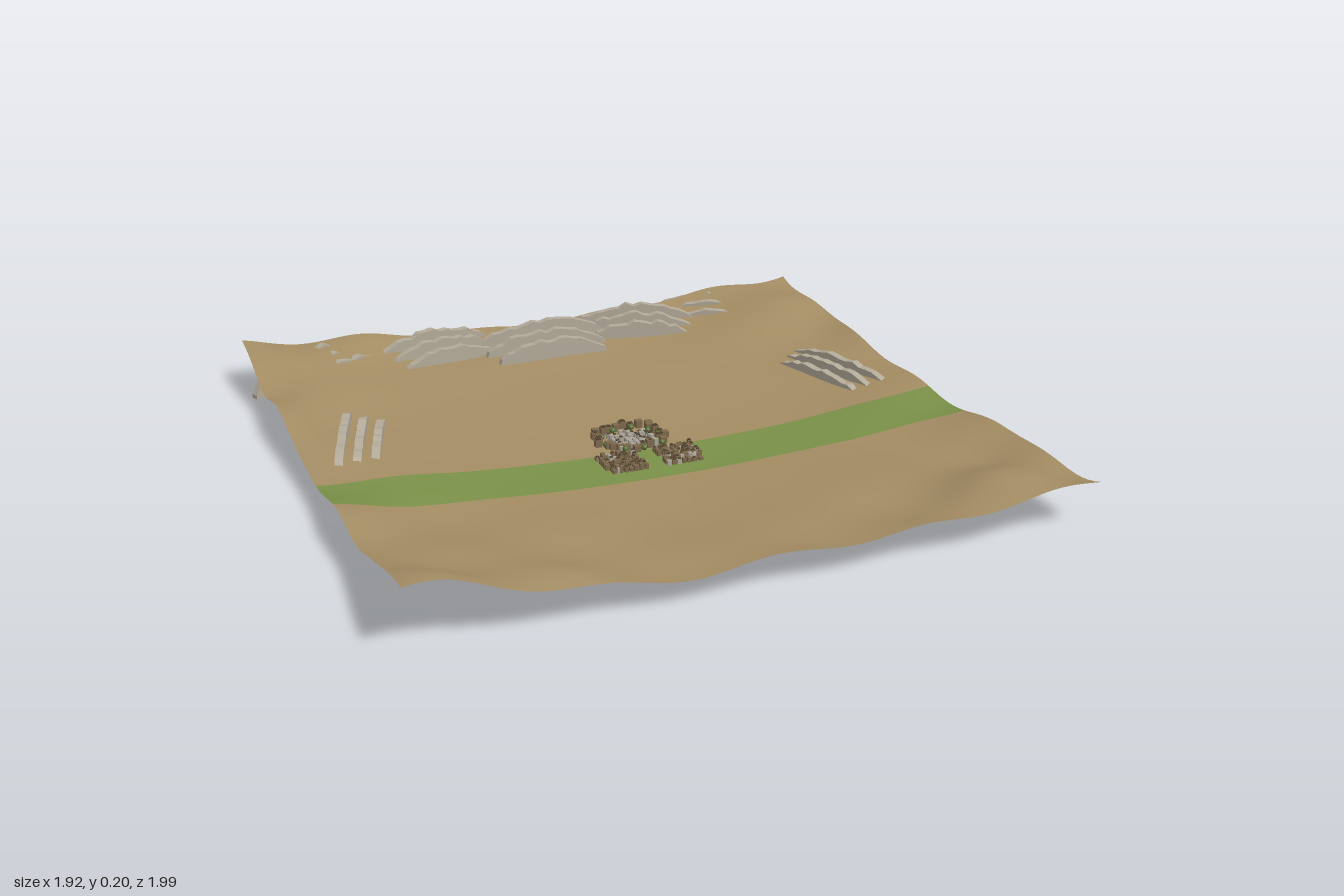
import * as THREE from 'three';
import { mergeGeometries } from 'three/addons/utils/BufferGeometryUtils.js';

const mat = (name, color, double = false) => {
  const m = new THREE.MeshStandardMaterial({ color });
  m.name = name;
  if (double) m.side = THREE.DoubleSide;
  return m;
};

// Shallow bowl with a rim that grows wavier outwards
function height(x, z) {
  const r2 = x * x + z * z;
  const wave = Math.sin(x * 9 + 1.3) * Math.cos(z * 8 - 0.6) + 0.6 * Math.sin(x * 15 - z * 11)
    + 0.4 * Math.cos(x * 6 + z * 17);
  const peak = 0.06 * Math.exp(-((x + 0.93) ** 2 + (z - 0.93) ** 2) / 0.03);
  return 0.016 + 0.068 * r2 + 0.014 * Math.min(1.3, r2 * r2) * wave + peak;
}

function seeded(seed) {
  return () => {
    seed = (seed * 16807) % 2147483647;
    return seed / 2147483647;
  };
}

export function createModel() {
  const root = new THREE.Group();
  const sand = mat('sand', 0xa48d64, true);
  const grass = mat('grass', 0x7b9149, true);
  const rock = mat('pale rock', 0xb3aa99);
  const mud = mat('mud brick', 0x7d684b);
  const stone = mat('pale stone', 0xaaa497);
  const dark = mat('dark roof', 0x51432f);
  const leaf = mat('leaves', 0x566f35);
  const add = (parent, name, geometry, material) => {
    const mesh = new THREE.Mesh(geometry, material);
    mesh.name = name;
    parent.add(mesh);
    return mesh;
  };

  // Terrain sheet, with the grass strip as a band of grid rows
  const n = 64;
  const ground = new THREE.PlaneGeometry(1.915, 1.92, n, n);
  ground.rotateX(-Math.PI / 2).translate(0, 0, 0.04);
  const p = ground.attributes.position;
  for (let i = 0; i < p.count; i++) p.setY(i, height(p.getX(i), p.getZ(i)));
  ground.computeVertexNormals();
  const row = n * 6;
  ground.addGroup(0, 34 * row, 0);
  ground.addGroup(34 * row, 7 * row, 1);
  ground.addGroup(41 * row, (n - 41) * row, 0);
  add(root, 'terrain', ground, [sand, grass]);

  // Rock fin: a thin wall with an arched, jagged top
  const rand = seeded(41);
  function fin(length, tall, thick) {
    const shape = new THREE.Shape();
    shape.moveTo(-length / 2, 0);
    shape.lineTo(length / 2, 0);
    const steps = 18;
    for (let i = 0; i <= steps; i++) {
      const t = 1 - (2 * i) / steps;
      const arch = Math.pow(Math.max(0, 1 - t * t), 0.45);
      shape.lineTo(t * length / 2, 0.012 + (tall - 0.012) * arch * (0.86 + 0.14 * rand()));
    }
    return new THREE.ExtrudeGeometry(shape, { depth: thick, bevelEnabled: false }).translate(0, 0, -thick / 2);
  }

  // Outcrop: three parallel fins stepping inwards on a low sandy foot
  function outcrop(name, x, z, turn, length, tall, gap) {
    const group = new THREE.Group();
    group.name = name;
    group.position.set(x, 0, z);
    group.rotation.y = turn;
    for (let i = 0; i < 3; i++) {
      const f = add(group, 'rockFin', fin(length * (1 - 0.1 * i), tall * (1 - 0.08 * i), 0.024), rock);
      f.position.z = i * gap;
    }
    const foot = add(group, 'rockFoot', new THREE.BoxGeometry(length * 0.86, 0.012, gap * 2), sand);
    foot.position.set(0, 0.006, gap);
    root.add(group);
  }
  outcrop('backOutcrop', 0, -0.785, 0, 0.5, 0.135, 0.066);
  for (const s of [-1, 1]) {
    const side = s > 0 ? 'left' : 'right';
    outcrop(side + 'BackOutcrop', s * 0.355, -0.84, -s * 0.22, 0.46, 0.13, 0.062);
    outcrop(side + 'CornerOutcrop', s * 0.71, -0.87, -s * 0.41, 0.54, 0.115, 0.06);
    outcrop(side + 'SideOutcrop', s * 0.81, -0.19, -s * 1.265, 0.5, 0.1, 0.05);
  }

  // Village: small blocks standing on the ground, merged by colour
  const bins = { mudHouses: [], stoneHouses: [], roofs: [], trees: [] };
  const block = (bin, x, z, w, h, d, base = 0) => {
    const y = height(x, z) - 0.003 + base;
    bins[bin].push(new THREE.BoxGeometry(w, h, d).translate(x, y + h / 2, z));
  };
  const house = (bin, x, z, w, h, d) => {
    block(bin, x, z, w, h, d);
    if (rand() < 0.45) block('roofs', x, z, w * 0.7, 0.003, d * 0.7, h);
  };

  // Two dense quarters on the grass
  for (const s of [-1, 1])
    for (let i = 0; i < 8; i++)
      for (let j = 0; j < 8; j++) {
        if (i === 0 && j > 2 && j < 5) continue;
        const x = s * (0.035 + i * 0.0155 - (j > 5 && i > 5 ? 0.01 : 0));
        house(rand() < 0.8 ? 'mudHouses' : 'stoneHouses', x, 0.125 + j * 0.0155,
          0.009 + rand() * 0.005, 0.012 + rand() * 0.012, 0.009 + rand() * 0.005);
      }

  // Pale central quarter
  for (let i = 0; i < 7; i++)
    for (let j = 0; j < 7; j++)
      if (rand() < 0.85)
        house('stoneHouses', -0.054 + i * 0.018, -0.015 + j * 0.017,
          0.01 + rand() * 0.005, 0.014 + rand() * 0.014, 0.01 + rand() * 0.004);

  // Scattered outlying houses and trees
  for (let i = 0; i < 26; i++) {
    const a = (i / 26) * Math.PI * 2;
    const x = Math.cos(a) * (0.085 + 0.03 * rand());
    const z = 0.01 + Math.sin(a) * (0.075 + 0.02 * rand());
    house('mudHouses', x, z, 0.02, 0.018 + rand() * 0.01, 0.018);
    if (i % 3 === 0) {
      const tree = new THREE.IcosahedronGeometry(0.009, 1);
      bins.trees.push(tree.translate(x * 0.85, height(x, z) + 0.012, z + 0.02));
    }
  }

  const village = new THREE.Group();
  village.name = 'village';
  const paint = { mudHouses: mud, stoneHouses: stone, roofs: dark, trees: leaf };
  for (const key in bins) add(village, key, mergeGeometries(bins[key]), paint[key]);
  root.add(village);
  return root;
}
